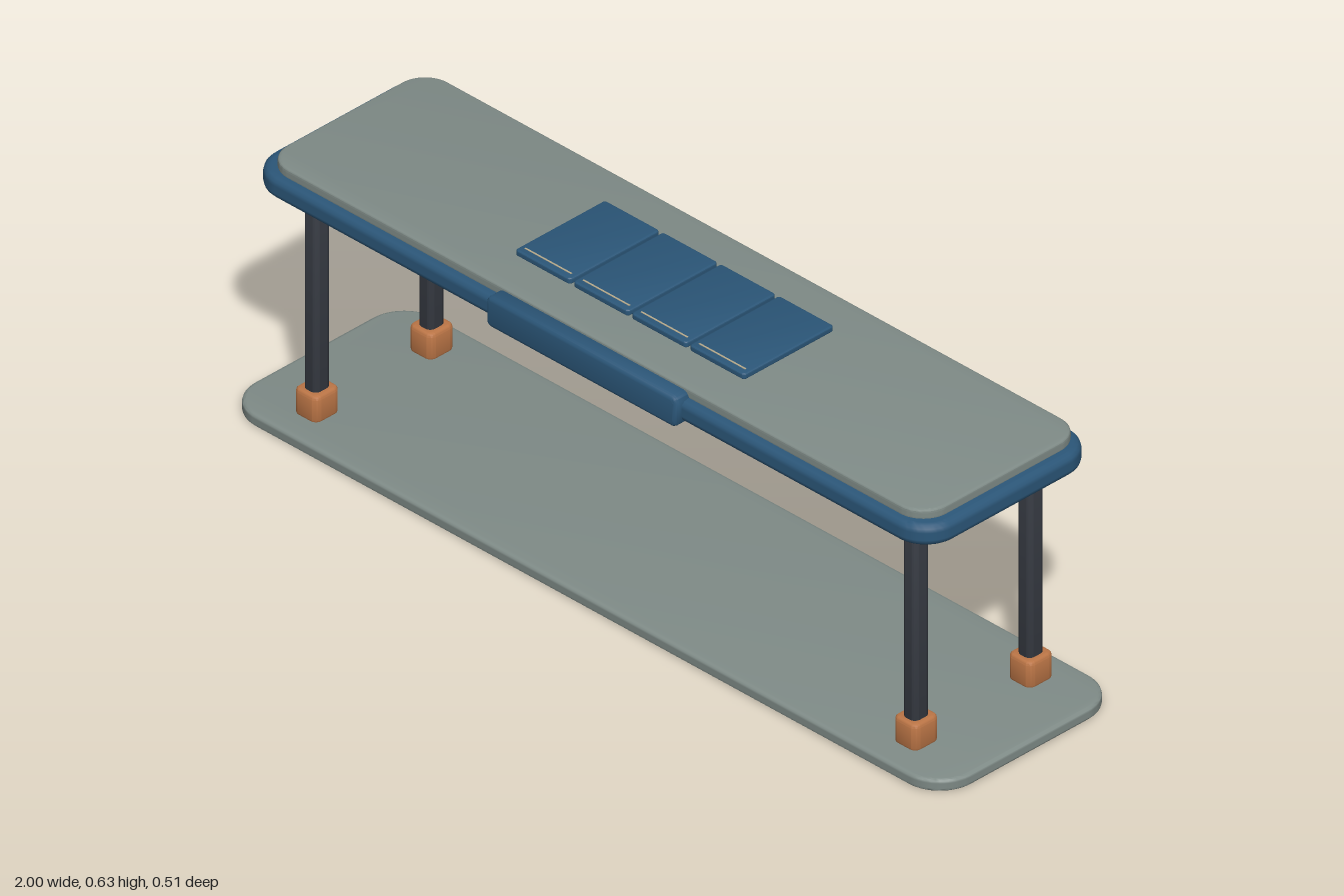
import * as THREE from 'three';
import { toCreasedNormals } from 'three/addons/utils/BufferGeometryUtils.js';

const mat = (name, color) => {
  const m = new THREE.MeshStandardMaterial({ color });
  m.name = name;
  return m;
};

// Rounded rectangle extruded along z with bevelled rims, centred on the origin
function plate(w, h, depth, radius, bevel) {
  const x = w / 2 - bevel, y = h / 2 - bevel, r = Math.max(radius - bevel, 0.002);
  const s = new THREE.Shape();
  s.absarc(x - r, y - r, r, 0, Math.PI / 2);
  s.absarc(r - x, y - r, r, Math.PI / 2, Math.PI);
  s.absarc(r - x, r - y, r, Math.PI, Math.PI * 1.5);
  s.absarc(x - r, r - y, r, Math.PI * 1.5, Math.PI * 2);
  const g = new THREE.ExtrudeGeometry(s, {
    depth: depth - 2 * bevel, bevelEnabled: true, bevelSize: bevel,
    bevelThickness: bevel, bevelSegments: 3, curveSegments: 8,
  });
  g.translate(0, 0, bevel - depth / 2);
  return toCreasedNormals(g, 0.6);
}

// The same plate lying flat: width along x, depth along z, height along y
const slab = (w, d, h, radius, bevel) => plate(w, d, h, radius, bevel).rotateX(-Math.PI / 2);

export function createModel() {
  const group = new THREE.Group();
  group.name = 'bench';

  const grey = mat('sage grey', 0x7f8b87);
  const blue = mat('deep blue', 0x2b5678);
  const charcoal = mat('charcoal', 0x363a42);
  const copper = mat('copper', 0xbb7546);
  const tan = mat('pale tan', 0xb5a98c);

  const add = (name, geometry, material, x, y, z) => {
    const mesh = new THREE.Mesh(geometry, material);
    mesh.name = name;
    mesh.position.set(x, y, z);
    group.add(mesh);
  };

  // Base plate
  add('base', slab(2, 0.506, 0.028, 0.09, 0.008), grey, 0, 0.014, 0);

  // Four posts standing in copper sockets
  const socket = slab(0.065, 0.07, 0.064, 0.016, 0.008);
  const post = slab(0.038, 0.045, 0.52, 0.014, 0.004);
  for (const x of [-0.836, 0.836]) {
    for (const z of [0.155, -0.165]) {
      add('socket', socket, copper, x, 0.055, z);
      add('post', post, charcoal, x, 0.286, z);
    }
  }

  // Upper frame and its surface panel
  add('frame', slab(1.896, 0.482, 0.049, 0.08, 0.016), blue, 0, 0.5745, -0.001);
  add('topPanel', slab(1.84, 0.45, 0.024, 0.065, 0.007), grey, 0, 0.607, -0.006);

  // Front fascia
  add('fascia', plate(0.532, 0.072, 0.046, 0.016, 0.01), blue, 0, 0.577, 0.233);

  // Row of four tiles, each with a thin line near its front edge
  const tile = slab(0.154, 0.252, 0.014, 0.008, 0.004);
  const line = new THREE.BoxGeometry(0.13, 0.001, 0.004);
  for (let i = 0; i < 4; i++) {
    const x = (i - 1.5) * 0.162;
    add('tile', tile, blue, x, 0.6255, -0.007);
    add('tileLine', line, tan, x, 0.6328, 0.102);
  }

  // Slim strips under the frame
  const strip = new THREE.BoxGeometry(0.206, 0.005, 0.012);
  for (const x of [-0.457, 0.457]) add('underStrip', strip, tan, x, 0.5475, 0.125);

  return group;
}
